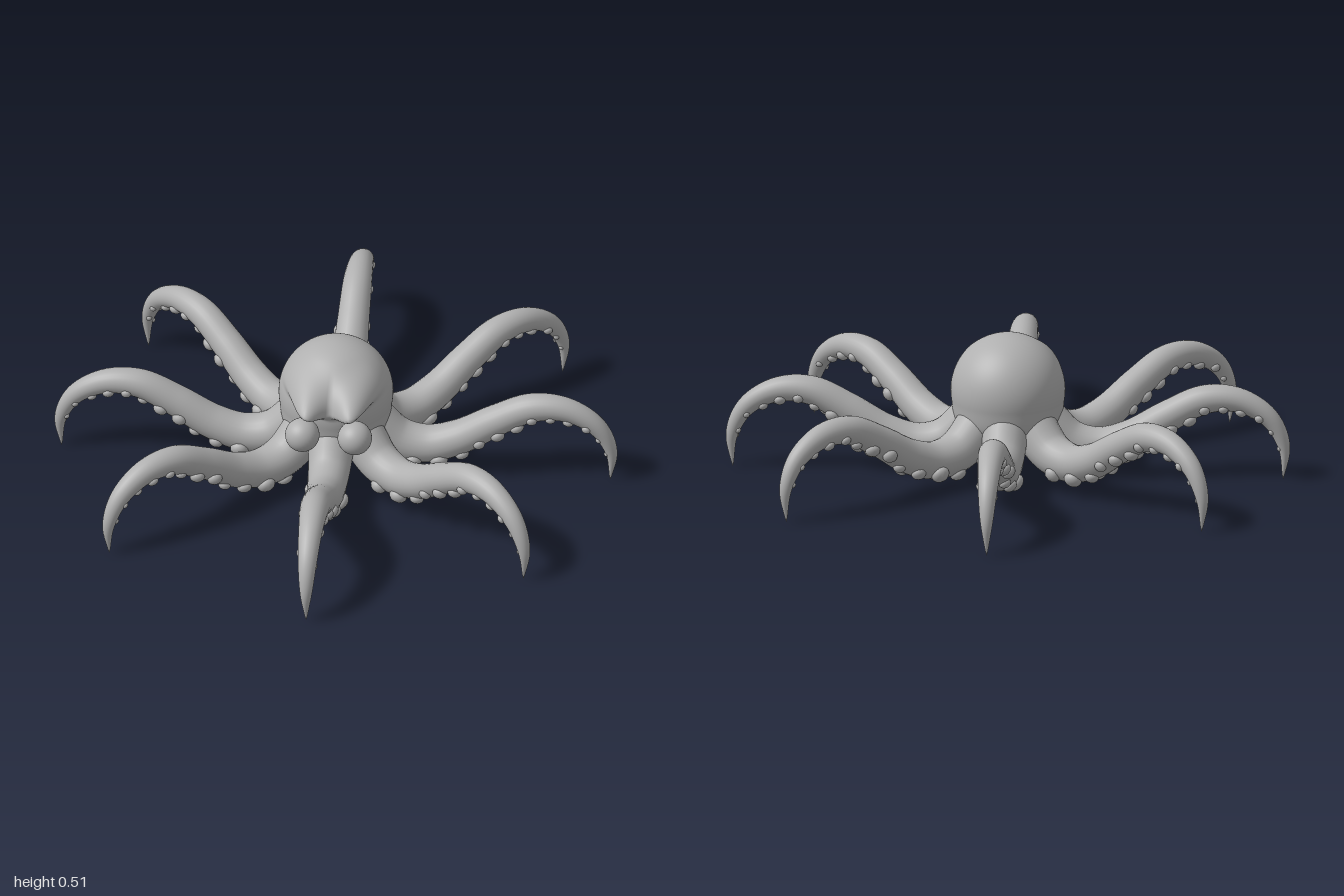
import * as THREE from 'three';
import { mergeVertices } from 'three/addons/utils/BufferGeometryUtils.js';

const grey = new THREE.MeshStandardMaterial({ color: 0xb0b0b0 });
grey.name = 'grey';

function smooth(geo) {
  geo.deleteAttribute('uv');
  geo.deleteAttribute('normal');
  const merged = mergeVertices(geo, 1e-5);
  merged.computeVertexNormals();
  return merged;
}

function addMesh(parent, name, geo) {
  const mesh = new THREE.Mesh(geo, grey);
  mesh.name = name;
  parent.add(mesh);
  return mesh;
}

// Arm centre line in the x-y plane: [x, y, radius]
const armProfile = [
  [0.08, 0.27, 0.08], [0.14, 0.19, 0.08], [0.22, 0.125, 0.074], [0.32, 0.11, 0.067],
  [0.43, 0.145, 0.062], [0.56, 0.225, 0.056], [0.69, 0.289, 0.051], [0.81, 0.288, 0.043],
  [0.915, 0.225, 0.034], [0.965, 0.125, 0.022], [0.962, 0.005, 0.002],
];
const armCurve = new THREE.CatmullRomCurve3(armProfile.map(([x, y]) => new THREE.Vector3(x, y, 0)));
const radiusCurve = new THREE.CatmullRomCurve3(armProfile.map(([, , r], i) => new THREE.Vector3(i, r, 0)));
const armRadius = (u) => radiusCurve.getPoint(armCurve.getUtoTmapping(u)).y;

function armGeometry() {
  const rings = 72, sides = 24;
  const geo = new THREE.TubeGeometry(armCurve, rings, 1, sides);
  const pos = geo.attributes.position;
  const v = new THREE.Vector3();
  for (let i = 0; i <= rings; i++) {
    const c = armCurve.getPointAt(i / rings);
    const r = i === rings ? 0.0005 : armRadius(i / rings);
    for (let j = 0; j <= sides; j++) {
      const k = i * (sides + 1) + j;
      v.fromBufferAttribute(pos, k).sub(c).multiplyScalar(r).add(c);
      pos.setXYZ(k, v.x, v.y, v.z);
    }
  }
  return smooth(geo);
}

// Two staggered rows of suckers under an arm
function addSuckers(arm, geo) {
  const out = new THREE.Vector3(0, 0, 1);
  for (const side of [-1, 1]) {
    for (let i = 0; i < 12; i++) {
      const u = 0.2 + (i + (side > 0 ? 0.35 : 0)) * 0.062;
      const c = armCurve.getPointAt(u), t = armCurve.getTangentAt(u);
      const r = armRadius(u);
      const a = side * (0.72 + 0.26 * Math.sin(i * 2.1 + side));
      const dir = new THREE.Vector3(t.y, -t.x, 0).multiplyScalar(Math.cos(a));
      dir.z = Math.sin(a);
      const sucker = addMesh(arm, 'sucker', geo);
      sucker.position.copy(c).addScaledVector(dir, r * 0.98);
      sucker.quaternion.setFromUnitVectors(out, dir);
      const s = r * (0.42 + 0.07 * Math.sin(i * 1.7));
      sucker.scale.set(s, s, s * 0.75);
    }
  }
}

// Round head flowing down to a short trunk, with two angry brows pulled forward
function headGeometry() {
  const geo = new THREE.SphereGeometry(0.2, 96, 96);
  const pos = geo.attributes.position;
  const step = THREE.MathUtils.smoothstep;
  for (let i = 0; i < pos.count; i++) {
    let x = pos.getX(i), y = pos.getY(i), z = pos.getZ(i);
    if (y < 0) {
      const flare = 1 + 0.16 * step(-y, 0.03, 0.17);
      x *= flare;
      z *= flare;
      y *= 1.05;
    }
    y += 0.31;
    if (z > 0) {
      const ax = Math.abs(x);
      const edge = 0.325 + 0.28 * ax;
      const across = Math.exp(-(((ax - 0.085) / 0.062) ** 2));
      const down = step(y, edge - 0.012, edge + 0.022) * (1 - step(y, 0.37, 0.485));
      z += 0.105 * across * down * step(z, 0, 0.06);
    }
    pos.setXYZ(i, x, y, z);
  }
  return smooth(geo);
}

export function createModel() {
  const model = new THREE.Group();
  model.name = 'octopus';

  addMesh(model, 'head', headGeometry());

  // Bulging eyes under the brows
  const eyeGeo = new THREE.SphereGeometry(0.06, 32, 24);
  for (const side of [-1, 1]) {
    addMesh(model, side > 0 ? 'leftEye' : 'rightEye', eyeGeo).position.set(side * 0.092, 0.282, 0.24);
  }

  // Eight arms: four straight and four diagonal
  const armGeo = armGeometry();
  const suckerGeo = new THREE.SphereGeometry(1, 14, 10);
  for (const deg of [0, 41, 90, 139, 180, 221, 270, 319]) {
    const arm = new THREE.Group();
    arm.name = 'arm';
    addMesh(arm, 'tentacle', armGeo);
    addSuckers(arm, suckerGeo);
    arm.rotation.y = THREE.MathUtils.degToRad(deg);
    model.add(arm);
  }
  return model;
}
